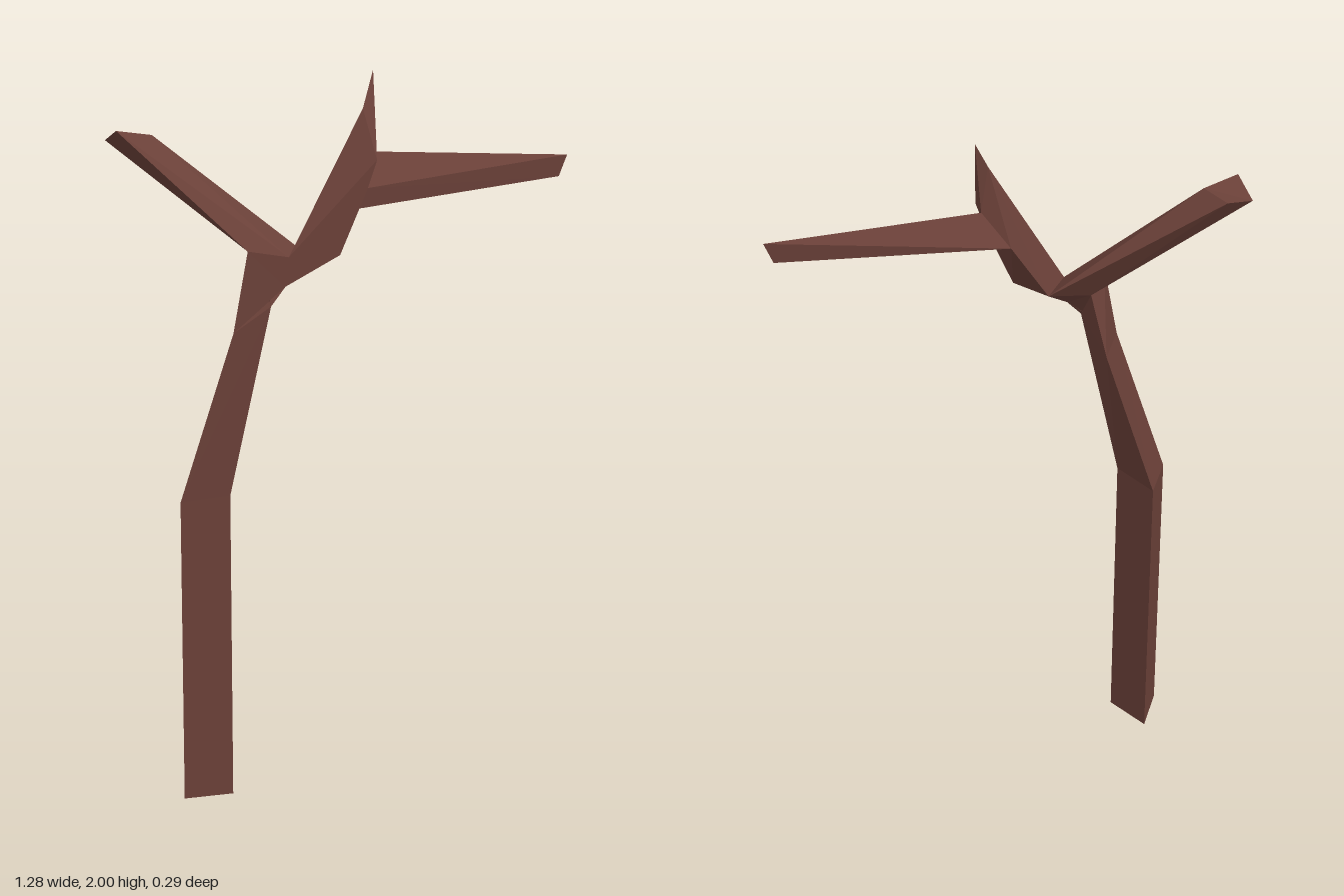
import * as THREE from 'three';

export function createModel() {
  const model = new THREE.Group();
  model.name = 'bareTree';
  const bark = new THREE.MeshStandardMaterial({ color: 0x6a4038, flatShading: true, side: THREE.DoubleSide });
  bark.name = 'barkBrown';

  // Shared corners of the joints, so neighbouring parts meet exactly
  const A4 = [-0.315, 1.53, 0.13], B4 = [-0.21, 1.43, 0.13], C4 = [-0.255, 1.49, 0.045];
  const forkFront = [-0.2, 1.51, 0.13], forkBack = [-0.13, 1.51, 0.03];
  const elbow = [-0.055, 1.51, 0.13];
  const G = [0, 1.635, 0.13], H = [0.024, 1.69, 0.13];
  const back = [-0.01, 1.7, -0.03], X = [0.055, 1.78, 0.04];
  const W = [0.05, 1.765, 0.13], crest = [0.03, 1.9, 0.065], spikeTip = [0.08, 2, 0];

  // Each face is a polygon of corners, cut as a fan from its first corner
  function addPart(name, faces) {
    const pos = [];
    for (const f of faces) {
      for (let i = 1; i < f.length - 1; i++) {
        const [a, b, c] = [f[0], f[i], f[i + 1]];
        if (a !== b && b !== c && a !== c) pos.push(...a, ...b, ...c);
      }
    }
    const geo = new THREE.BufferGeometry();
    geo.setAttribute('position', new THREE.Float32BufferAttribute(pos, 3));
    geo.computeVertexNormals();
    const mesh = new THREE.Mesh(geo, bark);
    mesh.name = name;
    model.add(mesh);
  }

  // Side faces between two rings of corners
  const bridge = (lo, hi) => lo.map((p, i) => {
    const j = (i + 1) % lo.length;
    return [p, lo[j], hi[j], hi[i]];
  });

  // Three-sided trunk, bending towards the fork
  const rings = [
    [[-0.51, 0, 0.13], [-0.37, 0, 0.13], [-0.44, 0, 0]],
    [[-0.51, 0.85, 0.13], [-0.37, 0.86, 0.13], [-0.44, 0.85, 0]],
    [[-0.358, 1.31, 0.135], [-0.255, 1.38, 0.145], [-0.29, 1.315, 0]],
    [A4, B4, C4],
  ];
  const trunk = [[rings[0][0], rings[0][2], rings[0][1]]];
  for (let i = 0; i < rings.length - 1; i++) trunk.push(...bridge(rings[i], rings[i + 1]));
  addPart('trunk', trunk);

  // Fork joint and upper limb
  addPart('upperLimb', [
    [A4, B4, forkFront],
    [B4, C4, forkBack],
    [forkFront, B4, elbow, G, H, W],
    [elbow, B4, forkBack],
    [elbow, forkBack, back, G],
    [forkFront, crest, forkBack],
    [forkBack, crest, back],
    [forkFront, W, crest],
  ]);

  // Pointed splinter on top of the limb
  addPart('topSpike', [
    [back, crest, X],
    [X, crest, spikeTip],
    [W, spikeTip, crest],
    [W, X, spikeTip],
    [H, X, W],
  ]);

  // Four-sided branch with a cut end
  const cut = [[-0.645, 1.815, -0.13], [-0.635, 1.848, -0.03], [-0.53, 1.832, -0.06], [-0.57, 1.823, -0.145]];
  addPart('rightBranch', [...bridge([A4, forkFront, forkBack, C4], cut), cut]);

  // Long branch narrowing to an edge
  const tipLow = [0.615, 1.695, 0.047], tipHigh = [0.64, 1.755, 0.045];
  addPart('leftBranch', bridge([G, back, X, H], [tipLow, tipLow, tipHigh, tipHigh]));

  return model;
}
